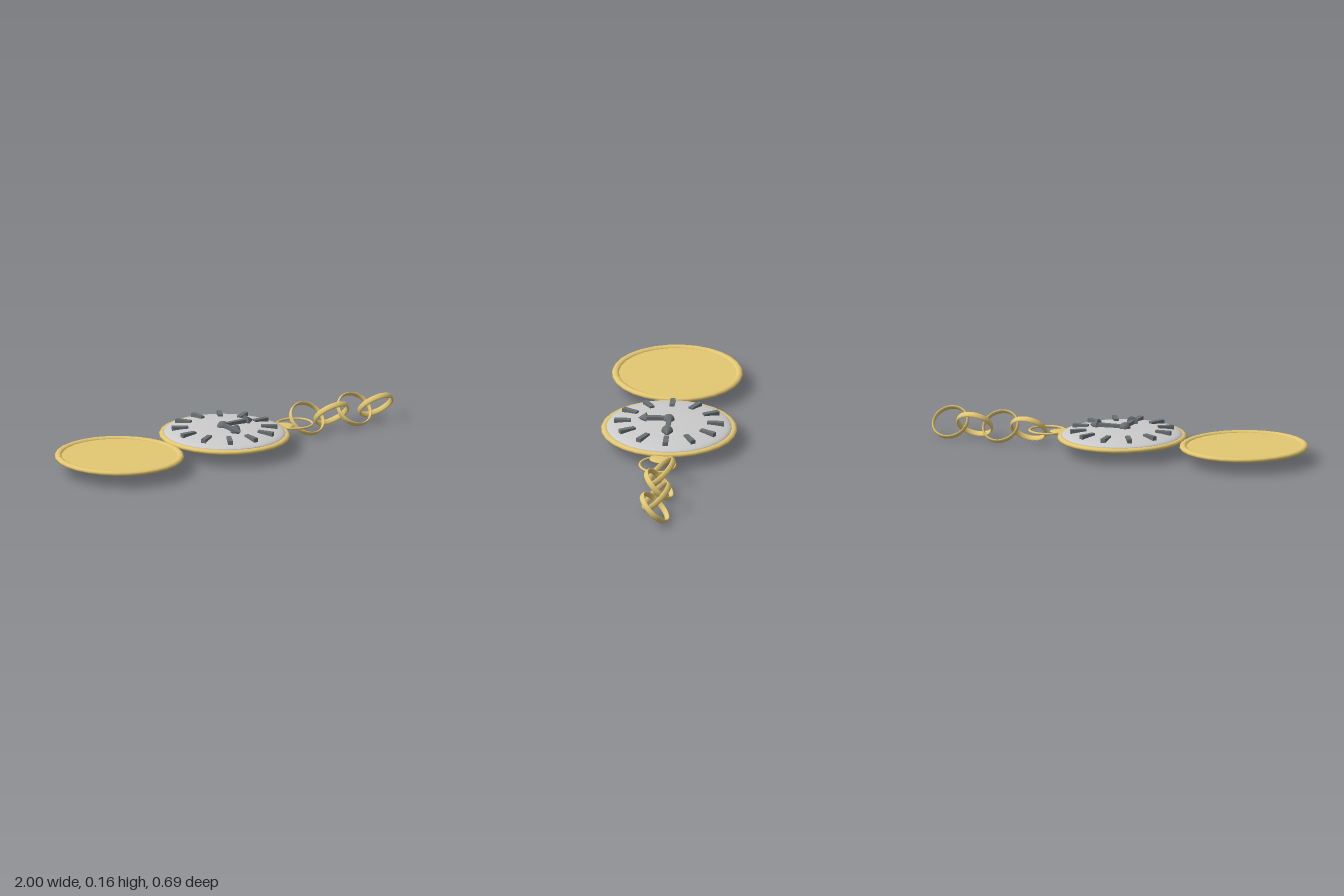
import * as THREE from 'three';

const gold = new THREE.MeshStandardMaterial({ color: 0xe3c772 });
const grey = new THREE.MeshStandardMaterial({ color: 0xcccccc });
const dark = new THREE.MeshStandardMaterial({ color: 0x6a7073 });

function add(parent, name, geometry, material, x = 0, y = 0, z = 0) {
  const mesh = new THREE.Mesh(geometry, material);
  mesh.name = name;
  mesh.position.set(x, y, z);
  parent.add(mesh);
  return mesh;
}

// Flat-lying ring whose tube is squashed to the given half height
function ringGeometry(radius, tube, halfHeight, sides) {
  return new THREE.TorusGeometry(radius, tube, 10, sides)
    .scale(1, 1, halfHeight / tube)
    .rotateX(-Math.PI / 2);
}

function ellipsoid(rx, ry, rz) {
  return new THREE.SphereGeometry(1, 32, 20).scale(rx, ry, rz);
}

// Arrow hand pointing along +x from the pivot
function createHand(name, shaft, tip) {
  const hand = new THREE.Group();
  hand.name = name;
  add(hand, name + 'Shaft', new THREE.BoxGeometry(shaft, 0.022, 0.024), dark, shaft / 2);
  const head = new THREE.ConeGeometry(0.03, tip - shaft, 12).rotateZ(-Math.PI / 2);
  add(hand, name + 'Head', head, dark, (shaft + tip) / 2);
  return hand;
}

export function createModel() {
  const model = new THREE.Group();
  model.name = 'pocketWatch';

  // Watch body: rim and domed dial
  const body = new THREE.Group();
  body.name = 'body';
  body.position.set(-0.022, 0, 0);
  body.scale.z = 1.06;
  model.add(body);
  add(body, 'rim', ringGeometry(0.307, 0.018, 0.0125, 28), gold, 0, 0.08);
  add(body, 'dial', ellipsoid(0.305, 0.035, 0.3), grey, 0, 0.09);

  // Hour marks run right through the dial
  for (let i = 0; i < 12; i++) {
    const a = (i / 12) * Math.PI * 2;
    const mark = add(body, 'hourMark', new THREE.BoxGeometry(0.08, 0.062, 0.024), dark,
      Math.cos(a) * 0.222, 0.097, Math.sin(a) * 0.222);
    mark.rotation.y = -a;
  }

  // Hub and hands
  add(model, 'hub', ellipsoid(0.029, 0.029, 0.029), dark, -0.035, 0.125, 0.003);
  const minuteHand = createHand('minuteHand', 0.14, 0.188);
  minuteHand.position.set(-0.035, 0.13, 0);
  const hourHand = createHand('hourHand', 0.114, 0.158);
  hourHand.position.set(-0.035, 0.131, 0);
  hourHand.rotation.y = -Math.PI / 2;
  model.add(minuteHand, hourHand);

  // Opened lid
  const lid = new THREE.Group();
  lid.name = 'lid';
  lid.position.set(-0.675, 0.08, 0.008);
  lid.scale.z = 1.02;
  model.add(lid);
  add(lid, 'lidRim', ringGeometry(0.307, 0.018, 0.0125, 28), gold);
  add(lid, 'lidPlate', new THREE.CylinderGeometry(0.3, 0.3, 0.006, 28), gold);

  // Winding knob and bow
  add(model, 'knob', ellipsoid(0.052, 0.006, 0.052), gold, 0.32, 0.075, 0.022);
  add(model, 'bow', ringGeometry(0.09, 0.006, 0.006, 32), gold, 0.391, 0.074, 0.027);

  // Chain links, tilted alternately
  [0.482, 0.633, 0.773, 0.904].forEach((x, i) => {
    const link = add(model, 'chainLink', ringGeometry(0.09, 0.006, 0.015, 32), gold, x, 0.08, 0.003);
    link.rotation.x = (i % 2 ? -1 : 1) * Math.PI / 4;
  });

  return model;
}
